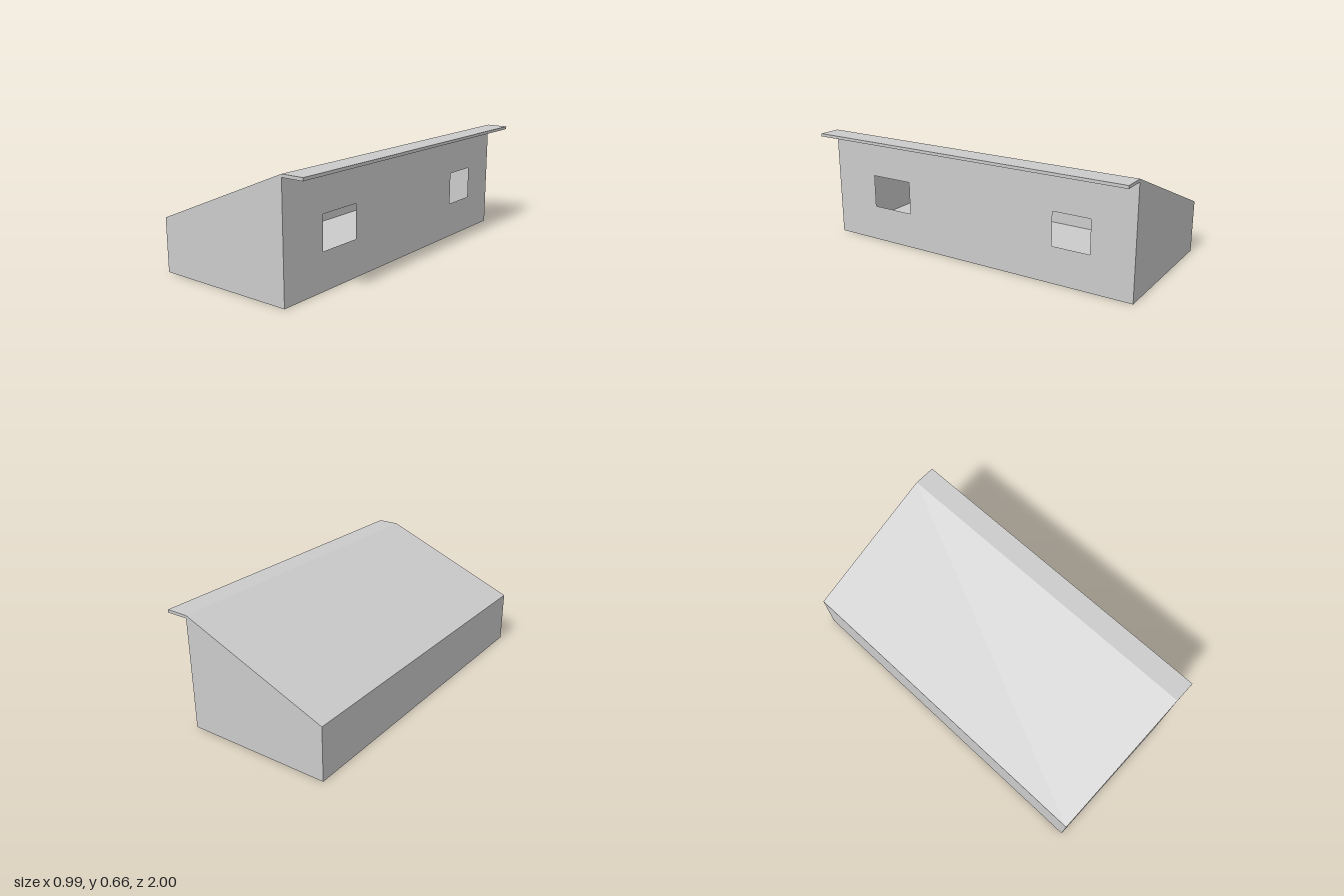
import * as THREE from 'three';

const material = new THREE.MeshStandardMaterial({ color: 0xcccccc, flatShading: true, side: THREE.DoubleSide });
const BACK = -0.497, WALL = 0.365, EAVE = 0.497;
const LOW = 0.31, SOFFIT = 0.645, TOP = 0.662, LENGTH = 2;

function addMesh(group, name, geometry) {
  const mesh = new THREE.Mesh(geometry, material);
  mesh.name = name;
  group.add(mesh);
  return mesh;
}

// Flat panel running the full length, between two profile points; faces left of a -> b
function addPanel(group, name, [ax, ay], [bx, by]) {
  const geometry = new THREE.PlaneGeometry(Math.hypot(bx - ax, by - ay), LENGTH);
  geometry.rotateX(-Math.PI / 2);
  geometry.rotateZ(Math.atan2(by - ay, bx - ax));
  geometry.translate((ax + bx) / 2, (ay + by) / 2, 0);
  addMesh(group, name, geometry);
}

function polygon(points) {
  return points.map(([x, y]) => new THREE.Vector2(x, y));
}

function rectangle(x0, x1, y0, y1) {
  return polygon([[x0, y0], [x1, y0], [x1, y1], [x0, y1]]);
}

export function createModel() {
  const group = new THREE.Group();
  group.name = 'shed';

  // Hollow shell: floor, low wall, sloped roof and the thin overhang
  addPanel(group, 'floor', [WALL, 0], [BACK, 0]);
  addPanel(group, 'lowWall', [BACK, 0], [BACK, LOW]);
  addPanel(group, 'slopedRoof', [BACK, LOW], [WALL, TOP]);
  addPanel(group, 'overhangTop', [WALL, TOP], [EAVE, TOP]);
  addPanel(group, 'overhangEdge', [EAVE, TOP], [EAVE, SOFFIT]);
  addPanel(group, 'overhangUnderside', [EAVE, SOFFIT], [WALL, SOFFIT]);

  // Tall wall with two window openings, drawn with x = -z and turned to face +x
  const wall = new THREE.Shape(rectangle(-LENGTH / 2, LENGTH / 2, 0, SOFFIT));
  for (const [from, to] of [[-0.71, -0.44], [0.525, 0.75]]) {
    wall.holes.push(new THREE.Path(rectangle(from, to, 0.215, 0.41)));
  }
  const wallGeometry = new THREE.ShapeGeometry(wall);
  wallGeometry.rotateY(Math.PI / 2);
  wallGeometry.translate(WALL, 0, 0);
  addMesh(group, 'windowWall', wallGeometry);

  // End walls, including the ends of the overhang
  const end = new THREE.Shape(polygon([
    [BACK, 0], [WALL, 0], [WALL, SOFFIT], [EAVE, SOFFIT], [EAVE, TOP], [WALL, TOP], [BACK, LOW],
  ]));
  for (const side of [1, -1]) {
    const mesh = addMesh(group, side > 0 ? 'frontEndWall' : 'backEndWall', new THREE.ShapeGeometry(end));
    mesh.position.z = side * LENGTH / 2;
  }
  return group;
}
